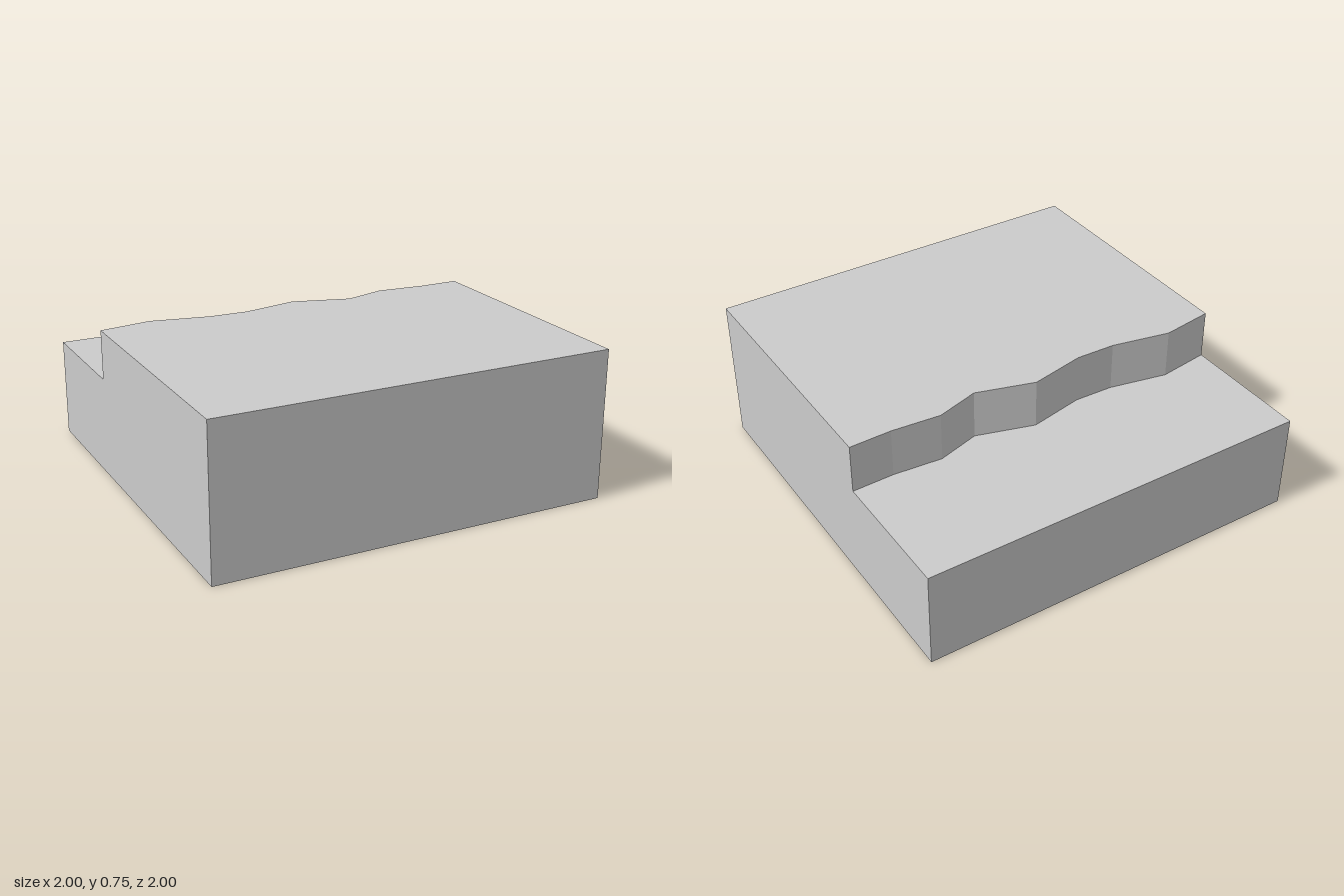
import * as THREE from 'three';

const LEDGE = 0.5; // height of the low rear step
const TOP = 0.75; // height of the raised front terrace

// Ragged cliff line across the block, as [x, z]
const cliffLine = [
  [-1, -0.335], [-0.735, -0.375], [-0.44, -0.315], [-0.24, -0.31], [0.04, -0.37],
  [0.33, -0.285], [0.545, -0.35], [0.79, -0.33], [1, -0.335],
];

// Upright prism over a ground outline of [x, z] points
function prism(name, outline, bottom, top, material) {
  const shape = new THREE.Shape(outline.map(([x, z]) => new THREE.Vector2(x, z)));
  const geometry = new THREE.ExtrudeGeometry(shape, { depth: top - bottom, bevelEnabled: false });
  geometry.rotateX(Math.PI / 2).translate(0, top, 0);
  const mesh = new THREE.Mesh(geometry, material);
  mesh.name = name;
  return mesh;
}

export function createModel() {
  const group = new THREE.Group();
  group.name = 'steppedGroundBlock';
  const material = new THREE.MeshStandardMaterial({ color: 0xcccccc, flatShading: true });

  // Full square base, whose uncovered rear forms the ledge
  const base = new THREE.Mesh(new THREE.BoxGeometry(2, LEDGE, 2), material);
  base.name = 'base';
  base.position.y = LEDGE / 2;

  // Raised terrace from the cliff line to the front edge
  const terrace = prism('raisedTerrace', [...cliffLine, [1, 1], [-1, 1]], LEDGE, TOP, material);

  group.add(base, terrace);
  return group;
}
